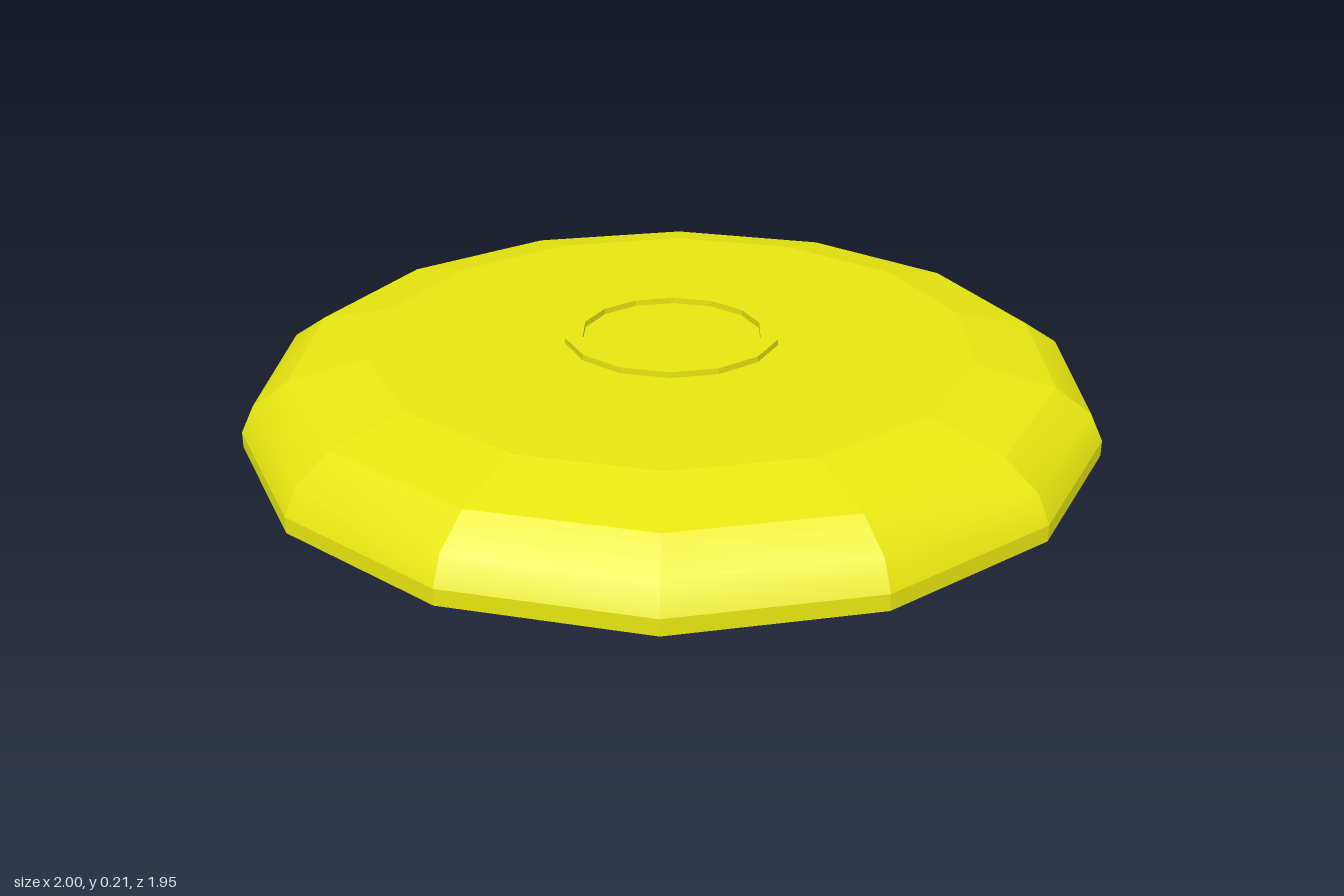
import * as THREE from 'three';
import { mergeGeometries } from 'three/addons/utils/BufferGeometryUtils.js';

const SIDES = 14;
const STEP = (Math.PI * 2) / SIDES;

// Turned surface, flat from side to side; each profile section is smooth along its height
function facetedLathe(sections) {
  const strips = [];
  for (const section of sections) {
    const points = section.map(([r, y]) => new THREE.Vector2(r, y));
    for (let i = 0; i < SIDES; i++) {
      const strip = new THREE.LatheGeometry(points, 1, (i - 0.5) * STEP, STEP);
      strip.computeVertexNormals();
      strips.push(strip);
    }
  }
  return mergeGeometries(strips);
}

export function createModel() {
  const group = new THREE.Group();
  group.name = 'flyingDisc';
  const yellow = new THREE.MeshStandardMaterial({ color: 0xe6e610, side: THREE.DoubleSide });

  const add = (name, sections) => {
    const mesh = new THREE.Mesh(facetedLathe(sections), yellow);
    mesh.name = name;
    group.add(mesh);
  };

  // Thin open shell: upright lip, rounded rim, sloping shoulder
  add('lip', [[[1, 0], [1, 0.037]]]);
  add('rim', [[[1, 0.037], [0.97, 0.1], [0.888, 0.155]]]);
  add('shoulder', [[[0.888, 0.155], [0.71, 0.195]]]);

  // Flat top plate
  const plate = new THREE.Mesh(new THREE.CircleGeometry(0.71, SIDES), yellow);
  plate.name = 'topPlate';
  plate.rotation.x = -Math.PI / 2;
  plate.position.y = 0.195;
  group.add(plate);

  // Raised ring in the middle: outer wall, top face, inner wall
  add('centreRing', [
    [[0.253, 0.195], [0.253, 0.209]],
    [[0.253, 0.209], [0.212, 0.209]],
    [[0.212, 0.209], [0.212, 0.195]],
  ]);

  return group;
}
